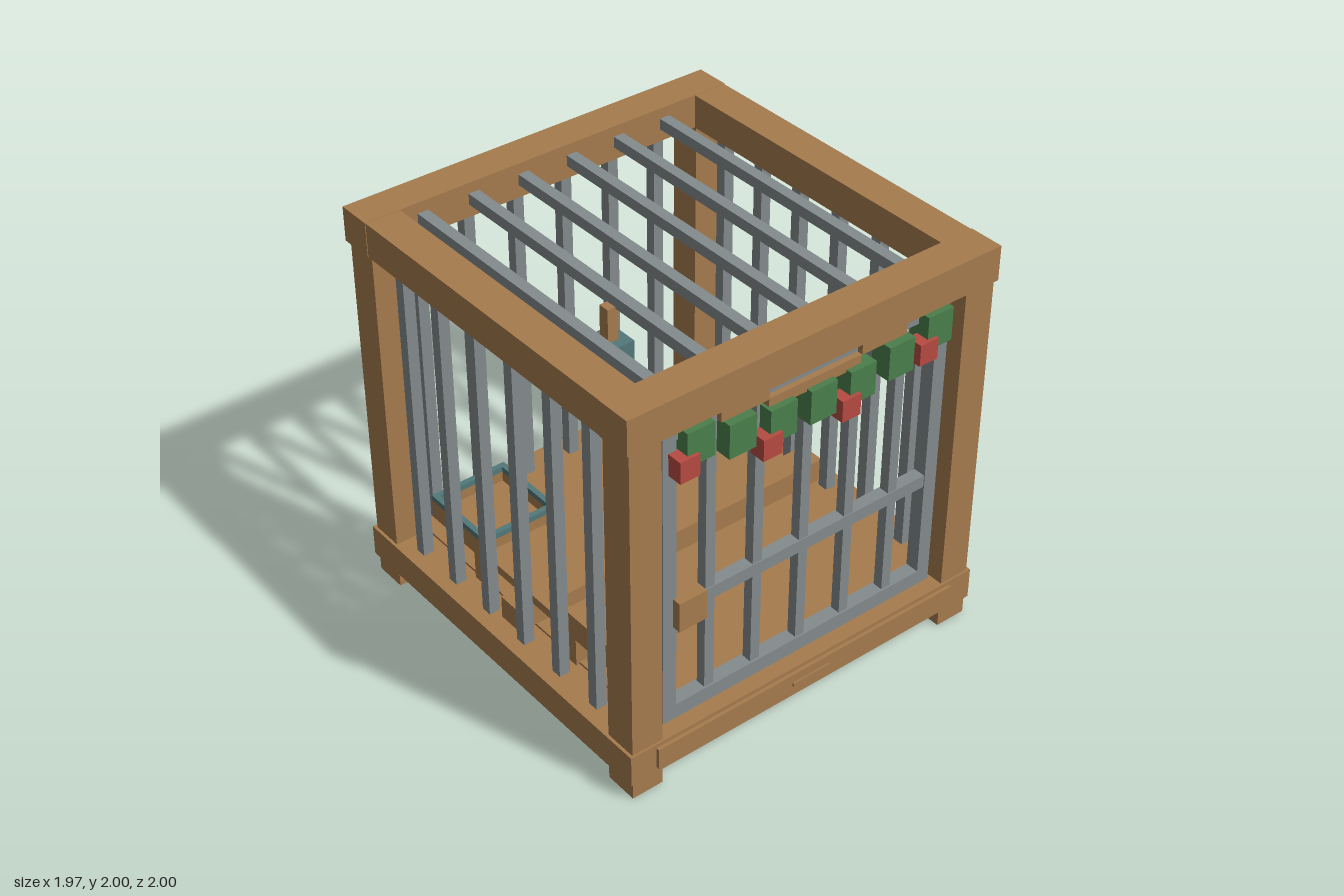
import * as THREE from 'three';

const material = (name, color) => {
  const m = new THREE.MeshStandardMaterial({ color });
  m.name = name;
  return m;
};

export function createModel() {
  const root = new THREE.Group();
  root.name = 'cage';
  const wood = material('wood', 0xa67b4e);
  const iron = material('iron', 0x848b8d);
  const leaf = material('leafGreen', 0x4a7f4c);
  const berry = material('berryRed', 0xb64a42);
  const teal = material('teal', 0x52787a);

  const group = (name) => {
    const g = new THREE.Group();
    g.name = name;
    root.add(g);
    return g;
  };
  // Box given by its extents along each axis
  const box = (parent, name, mat, [x0, x1], [y0, y1], [z0, z1]) => {
    const mesh = new THREE.Mesh(new THREE.BoxGeometry(x1 - x0, y1 - y0, z1 - z0), mat);
    mesh.position.set((x0 + x1) / 2, (y0 + y1) / 2, (z0 + z1) / 2);
    mesh.name = name;
    parent.add(mesh);
  };
  const around = (c, size) => [c - size / 2, c + size / 2];

  // Base, floor and front drawer
  const base = group('base');
  box(base, 'baseSlab', wood, [-0.985, 0.985], [0.09, 0.25], [-1, 0.975]);
  box(base, 'floorPanel', wood, [-0.8, 0.8], [0.25, 0.262], [-0.82, 0.8]);
  box(base, 'drawerFront', wood, [-0.85, 0.85], [0.12, 0.23], [0.975, 0.992]);
  box(base, 'drawerHandle', wood, [-0.105, 0.105], [0.165, 0.185], [0.992, 1]);

  // Corner posts and feet
  const posts = group('cornerPosts');
  for (const x of [-0.89, 0.89]) {
    for (const z of [-0.9, 0.882]) {
      box(posts, 'foot', wood, around(x, 0.16), [0, 0.09], around(z, 0.165));
      box(posts, 'post', wood, around(x, 0.16), [0.25, 1.83], around(z, 0.165));
    }
  }

  // Roof frame
  const roof = group('roofFrame');
  box(roof, 'frontBeam', wood, [-0.985, 0.985], [1.83, 2], [0.8, 0.975]);
  box(roof, 'backBeam', wood, [-0.985, 0.985], [1.83, 2], [-1, -0.825]);
  for (const x of [-0.895, 0.895]) {
    box(roof, 'sideBeam', wood, around(x, 0.174), [1.83, 1.998], [-0.825, 0.8]);
  }

  // Roof, back and side bars
  const bars = group('cageBars');
  const w = 0.055;
  for (let i = 0; i < 6; i++) {
    const x = -0.695 + i * 0.265;
    const z = -0.697 + i * 0.2635;
    box(bars, 'roofBar', iron, around(x, w), around(1.92, w), [-0.825, 0.8]);
    box(bars, 'backBar', iron, around(x, w), [0.25, 1.83], around(-0.9, w));
    for (const s of [-1, 1]) box(bars, 'sideBar', iron, around(s * 0.89, w), [0.25, 1.83], around(z, w));
  }

  // Front door
  const door = group('door');
  const doorZ = around(0.882, 0.07);
  for (const s of [-1, 1]) box(door, 'doorStile', iron, around(s * 0.733, 0.07), [0.275, 1.815], doorZ);
  box(door, 'doorBottomRail', iron, [-0.7, 0.7], [0.275, 0.35], doorZ);
  box(door, 'doorTopRail', iron, [-0.7, 0.7], [1.745, 1.815], doorZ);
  box(door, 'doorMiddleRail', iron, [-0.7, 0.7], [0.832, 0.895], around(0.882, 0.062));
  for (let i = -2; i <= 2; i++) {
    box(door, 'doorBar', iron, around(i * 0.256, 0.05), [0.35, 1.745], around(0.882, 0.05));
  }
  box(door, 'latch', wood, [-0.715, -0.57], [0.792, 0.942], [0.87, 0.96]);

  // Garland: stepped cord, leaves and berries
  const garland = group('garland');
  box(garland, 'cordMiddle', wood, [-0.25, 0.245], [1.702, 1.756], [0.9, 0.945]);
  for (const s of [-1, 1]) {
    box(garland, 'cordStep', wood, around(s * 0.372, 0.248), [1.752, 1.805], [0.9, 0.945]);
    box(garland, 'cordEnd', wood, around(s * 0.62, 0.25), [1.803, 1.835], [0.9, 0.945]);
  }
  const leafHeights = [1.72, 1.66, 1.632, 1.632, 1.632, 1.66, 1.72];
  leafHeights.forEach((y, i) => {
    box(garland, 'leaf', leaf, around(0.02 + (i - 3) * 0.2135, 0.14), around(y, 0.165), [0.87, 0.975]);
  });
  [[-0.69, 1.643], [-0.262, 1.55], [0.16, 1.55], [0.587, 1.643]].forEach(([x, y]) => {
    box(garland, 'berry', berry, around(x, 0.1), around(y, 0.105), [0.91, 0.992]);
  });

  // Hanging bell: [name, material, width, depth, bottom, top]
  const bell = group('hangingBell');
  [
    ['hanger', wood, 0.055, 0.055, 1.735, 1.9],
    ['bellCap', teal, 0.145, 0.15, 1.61, 1.735],
    ['bellNeck', wood, 0.1, 0.1, 1.54, 1.61],
    ['bellBody', wood, 0.205, 0.2, 1.41, 1.54],
    ['bellRim', wood, 0.27, 0.25, 1.37, 1.41],
    ['clapper', wood, 0.08, 0.08, 1.31, 1.37],
  ].forEach(([name, mat, wx, wz, y0, y1]) => {
    box(bell, name, mat, around(-0.47, wx), [y0, y1], around(0.19, wz));
  });

  // Floor perch with its cross piece
  const perch = group('perch');
  box(perch, 'perchBeam', wood, [-0.89, 0.89], [0.262, 0.38], [-0.085, 0.05]);
  box(perch, 'perchCrossPiece', wood, [-0.545, -0.425], [0.262, 0.379], [-0.33, 0.315]);

  // Side shelf on legs, carrying two open trays
  const shelf = group('shelf');
  box(shelf, 'shelfBoard', wood, [-0.85, -0.435], [0.445, 0.49], [-0.675, 0.655]);
  for (const x of [-0.78, -0.5]) {
    for (const z of [-0.358, 0.333]) {
      box(shelf, 'shelfLeg', wood, around(x, 0.075), [0.25, 0.445], around(z, 0.075));
    }
  }
  const trayWalls = (name, mat, y, z0, z1) => {
    const [x0, x1, t] = [-0.85, -0.448, 0.028];
    for (const x of [x0, x1 - t]) box(shelf, name, mat, [x, x + t], y, [z0, z1]);
    for (const z of [z0, z1 - t]) box(shelf, name, mat, [x0 + t, x1 - t], y, [z, z + t]);
  };
  trayWalls('frontTrayWall', wood, [0.49, 0.57], 0.237, 0.65);
  trayWalls('backTrayWall', wood, [0.49, 0.542], -0.675, -0.262);
  trayWalls('backTrayRim', teal, [0.542, 0.57], -0.675, -0.262);

  return root;
}
